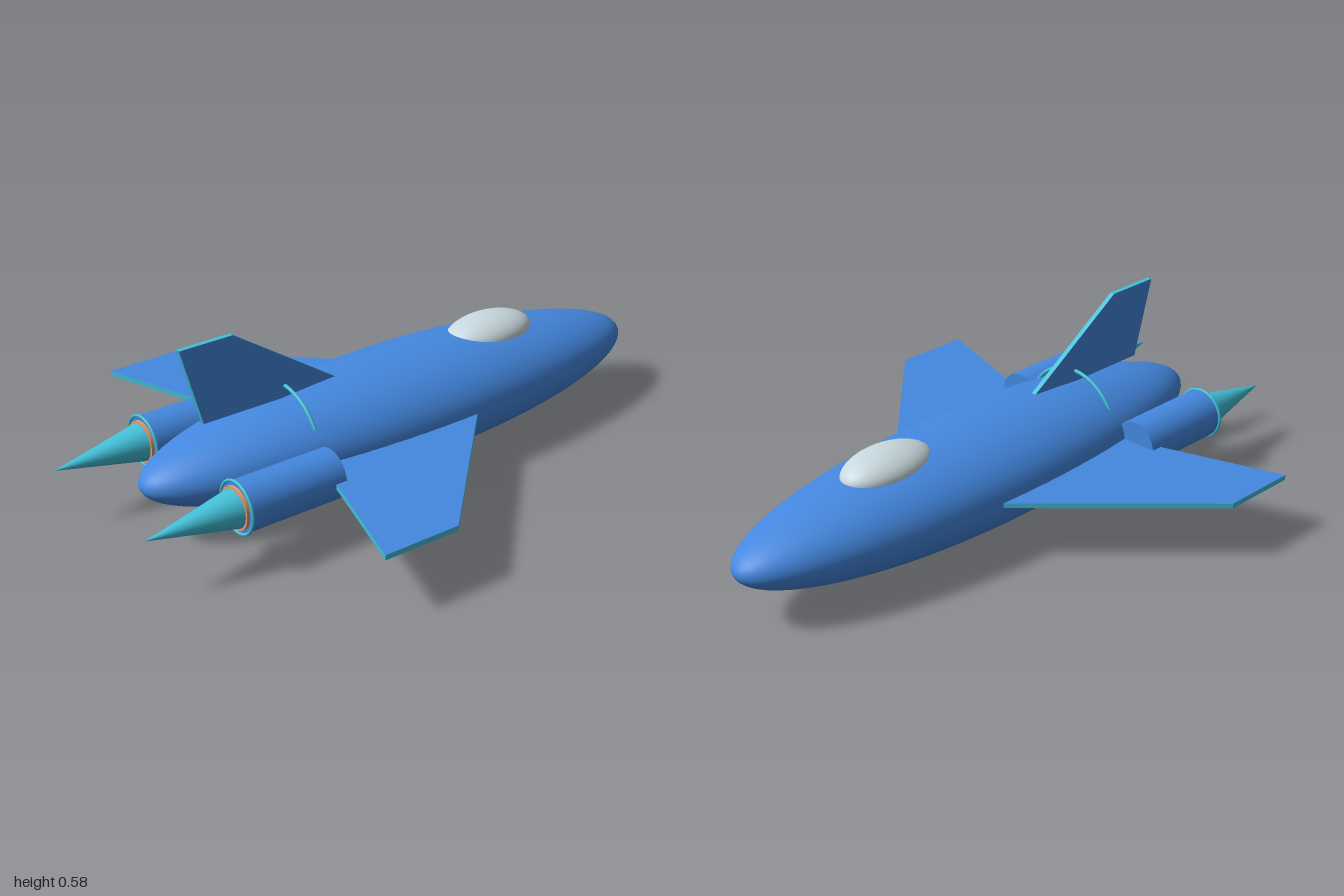
import * as THREE from 'three';

const paint = (name, color) => {
  const m = new THREE.MeshStandardMaterial({ color });
  m.name = name;
  return m;
};

export function createModel() {
  const blue = paint('hullBlue', 0x4488e0);
  const teal = paint('trimTeal', 0x40c0d8);
  const glass = paint('canopyGlass', 0xc8d8de);
  const glow = paint('nozzleOrange', 0xf0a070);
  const axisY = 0.188;
  const thickness = 0.016;

  const model = new THREE.Group();
  model.name = 'spaceFighter';

  const add = (name, geometry, material, x = 0, y = 0, z = 0, parent = model) => {
    const mesh = new THREE.Mesh(geometry, material);
    mesh.name = name;
    mesh.position.set(x, y, z);
    parent.add(mesh);
    return mesh;
  };

  // Ellipsoid with its poles at nose and tail
  const ellipsoid = (rx, ry, rz) =>
    new THREE.SphereGeometry(1, 64, 40).rotateZ(-Math.PI / 2).scale(rx, ry, rz);

  // Flat plate centred on its own plane: blue faces, teal edges
  const plate = (points) => {
    const shape = new THREE.Shape(points.map(([a, b]) => new THREE.Vector2(a, b)));
    return new THREE.ExtrudeGeometry(shape, { depth: thickness, bevelEnabled: false })
      .translate(0, 0, -thickness / 2);
  };

  // Hoop facing along the length of the ship
  const hoop = (radius, tube) =>
    new THREE.TorusGeometry(radius, tube, 10, 64).rotateY(Math.PI / 2);

  // Body
  add('fuselage', ellipsoid(0.928, 0.165, 0.24), blue, 0.07, axisY);
  add('canopy', ellipsoid(0.162, 0.063, 0.096), glass, 0.436, 0.32);
  add('hullBand', hoop(0.182, 0.006), teal, -0.36, axisY);

  // Tail fin
  add('tailFin', plate([[-0.645, 0.333], [-0.157, 0.333], [-0.535, 0.582], [-0.715, 0.582]]),
    [blue, teal]);

  for (const side of [1, -1]) {
    const label = side > 0 ? 'right' : 'left';

    // Swept wing, with its root inside the fuselage
    const outline = [[0.25, 0.18], [-0.285, 0.715], [-0.538, 0.715], [-0.364, 0.18]];
    const wing = plate(outline.map(([x, z]) => [x, z * side])).rotateX(Math.PI / 2);
    add(`${label}Wing`, wing, [blue, teal], 0, axisY);

    // Engine: pod, rim, glowing nozzle and rear cone
    const engine = new THREE.Group();
    engine.name = `${label}Engine`;
    engine.position.set(0, axisY, 0.25 * side);
    model.add(engine);
    const along = (geometry) => geometry.rotateZ(Math.PI / 2);
    add('pod', along(new THREE.CylinderGeometry(0.078, 0.078, 0.325, 48)), blue, -0.5375, 0, 0, engine);
    add('rim', hoop(0.08, 0.005), teal, -0.7, 0, 0, engine);
    add('nozzle', along(new THREE.CylinderGeometry(0.066, 0.066, 0.012, 48)), glow, -0.704, 0, 0, engine);
    add('exhaustCone', along(new THREE.ConeGeometry(0.06, 0.295, 48)), teal, -0.8525, 0, 0, engine);
  }

  return model;
}
